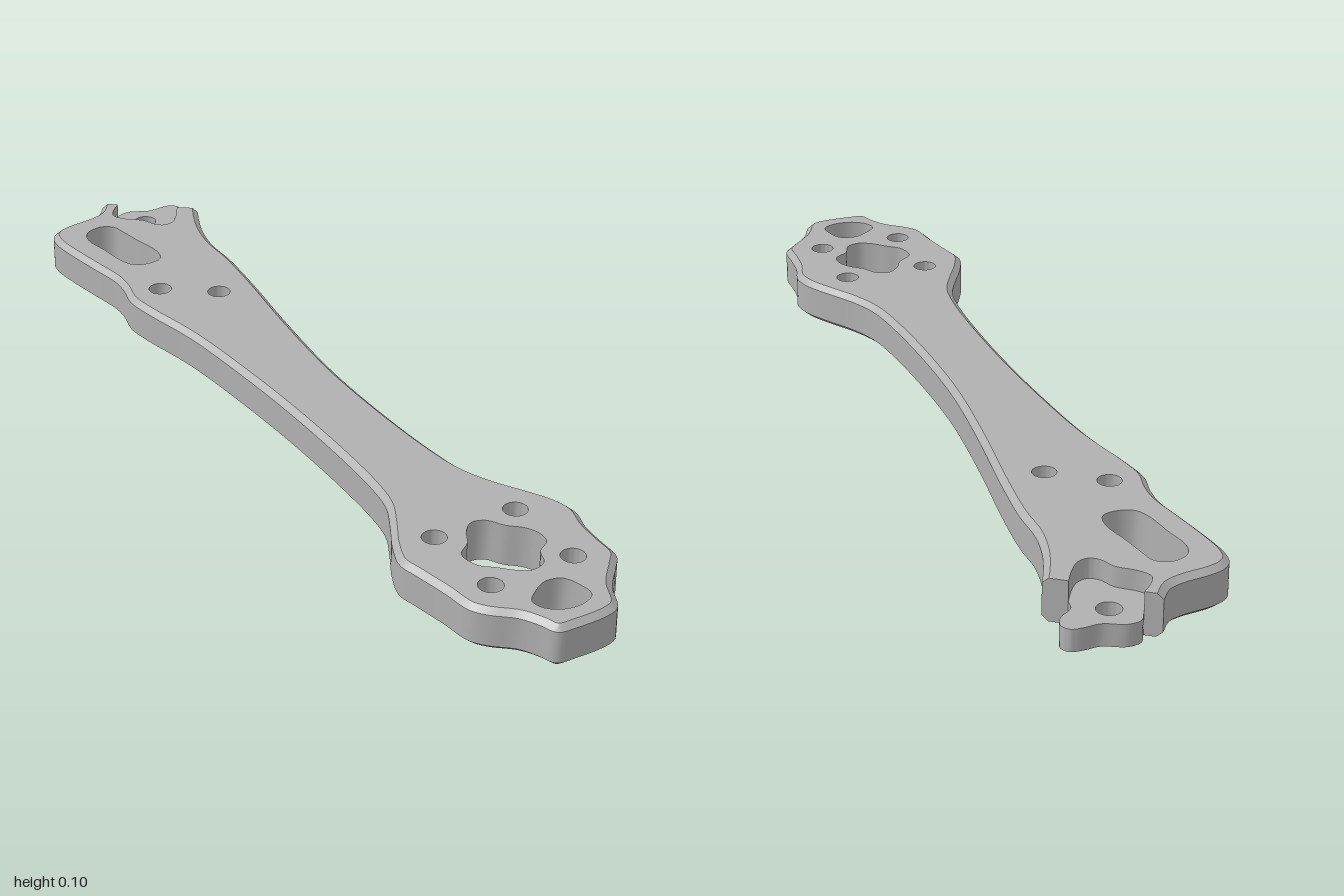
import * as THREE from 'three';
import { toCreasedNormals } from 'three/addons/utils/BufferGeometryUtils.js';

const HEIGHT = 0.105, CHAMFER = 0.013, INSET = 0.015, FLOOR = 0.055;

// Plan outlines as x, z pairs in hundredths of a unit
const OUTLINE = [
  -65.7, -88.9, -66, -84, -68.3, -80.4, -73, -75.7, -75.2, -72.5, -75.7, -69.3, -74.1, -65.6,
  -70, -60.8, -61.5, -52.4, -55, -46, -52, -41.3, -49.3, -35.4, -44.6, -30.2, -31.4, -18,
  -16, -0.5, -2.4, 16.4, 10.8, 34.4, 19.8, 48.1, 23.5, 55.6, 25, 63.5, 26.1, 71.4,
  28.2, 78.3, 32, 82, 38.8, 88.4, 44, 93.7, 48.3, 95.2, 54.6, 95.8, 58.8, 97.6,
  63, 100, 67.3, 97.6, 73.6, 92.6, 75.5, 89.4, 74.3, 82, 75, 74.6, 75.2, 69.8,
  71.5, 64, 68.3, 58.7, 66, 53, 62, 49.2, 55.7, 46, 47.2, 42.3, 39.8, 37.6,
  32, 29.6, 18.7, 13.2, 5.5, -5.3, -7.7, -27.5, -19.3, -48.7, -27.2, -62, -32.5, -69.3,
  -36.1, -76.7, -38.3, -84, -39.3, -88.9];
const NOTCH = [-45.1, -88.9, -44.6, -84, -45, -80, -46.8, -78, -49.3, -78, -53, -80,
  -58.3, -80.5, -61.5, -82, -62, -85, -61.5, -88.9];
const TAB = [-45.1, -88.9, -46.3, -91.5, -45.2, -95.8, -46, -99, -48.3, -100, -51, -98.5,
  -54, -96, -59.4, -94.7, -61.8, -92.2, -61.5, -88.9];
const SLOT = [-66.7, -70.8, -64.1, -74.6, -60.4, -75.1, -57.3, -72.5, -53, -68.3, -46.7, -62.4,
  -45.1, -58.2, -47.8, -55, -51.5, -54, -55.1, -56, -60.4, -61.4, -65.7, -66.7];
const HUB = [42, 65, 43, 61.4, 46.2, 60.3, 50.4, 61.9, 54.6, 62.4, 57.8, 64, 59.8, 67.2,
  58.5, 71.4, 59.4, 75.7, 57.3, 78.8, 53.6, 79.4, 49.3, 78.8, 45.1, 78.3, 41.4, 74.6, 42.5, 69.8];
const TIP = [57.8, 87.3, 59.9, 83, 63.6, 81.5, 67.3, 83.6, 69.9, 86.8, 68.3, 90.5,
  64.1, 93.1, 59.9, 93.1, 57.3, 91];
const BOLTS = [[-42.5, -41.3], [-27.2, -41.3], [52.5, 55], [35.1, 68.3], [65.7, 72.5], [48.3, 85.7]];
const TAB_BOLT = [-54.1, -89.4];

// Smooth plan curve through the pairs
function smooth(pairs, closed = false) {
  const pts = [];
  for (let i = 0; i < pairs.length; i += 2) pts.push(new THREE.Vector3(pairs[i] / 100, 0, pairs[i + 1] / 100));
  return new THREE.CatmullRomCurve3(pts, closed).getPoints(pts.length * 4);
}

function circle([x, z], r = 0.029, n = 32) {
  return Array.from({ length: n + 1 }, (_, i) => {
    const a = (i / n) * Math.PI * 2;
    return new THREE.Vector3(x / 100 + r * Math.cos(a), 0, z / 100 + r * Math.sin(a));
  });
}

// Move an open path inwards, keeping its two ends on the cut line
function inset(path, d) {
  return path.map((p, i) => {
    const t = path[Math.min(i + 1, path.length - 1)].clone().sub(path[Math.max(i - 1, 0)]).normalize();
    const end = i === 0 || i === path.length - 1;
    return new THREE.Vector3(p.x + t.z * d, 0, end ? p.z : p.z - t.x * d);
  });
}

// Upright skin between stacked rows of [path, y]
function wall(rows) {
  const pos = [], idx = [], n = rows[0][0].length;
  for (const [path, y] of rows) for (const p of path) pos.push(p.x, y, p.z);
  for (let r = 0; r < rows.length - 1; r++) {
    for (let i = 0; i < n - 1; i++) {
      const a = r * n + i, d = a + n;
      idx.push(a, a + 1, d + 1, a, d + 1, d);
    }
  }
  const g = new THREE.BufferGeometry();
  g.setAttribute('position', new THREE.Float32BufferAttribute(pos, 3));
  g.setIndex(idx);
  return toCreasedNormals(g, 0.6);
}

// Flat face with holes, looking up (s = 1) or down (s = -1)
function cap(path, holes, y, s) {
  const flat = (pts) => pts.map((p) => new THREE.Vector2(p.x, -s * p.z));
  const shape = new THREE.Shape(flat(path));
  shape.holes = holes.map((h) => new THREE.Path(flat(h)));
  return new THREE.ShapeGeometry(shape).rotateX(-s * Math.PI / 2).translate(0, y, 0);
}

export function createModel() {
  const group = new THREE.Group();
  group.name = 'arm';
  const grey = new THREE.MeshStandardMaterial({ color: 0xb0b0b0 });
  grey.name = 'grey';
  const add = (name, geometry) => {
    const mesh = new THREE.Mesh(geometry, grey);
    mesh.name = name;
    group.add(mesh);
  };

  const outer = smooth(OUTLINE), inner = inset(outer, INSET);
  const notch = smooth(NOTCH), tab = smooth(TAB);
  const holes = [smooth(SLOT, true), smooth(HUB, true), smooth(TIP, true), ...BOLTS.map((b) => circle(b))];
  const tabHole = circle(TAB_BOLT);
  const levels = [[inner, 0], [outer, CHAMFER], [outer, HEIGHT - CHAMFER], [inner, HEIGHT]];

  // Bevelled rim and the two flat faces
  add('rim', wall(levels));
  add('topFace', cap([...inner, ...notch], holes, HEIGHT, 1));
  add('bottomFace', cap([...inner, ...tab], [...holes, tabHole], 0, -1));

  // Cut ends on either side of the tab
  const last = outer.length - 1;
  add('rightCutEnd', wall(levels.map(([p, y]) => [[notch[notch.length - 1], p[0]], y])));
  add('leftCutEnd', wall(levels.map(([p, y]) => [[p[last], notch[0]], y])));

  // Half-height tab and the recess it sits in
  add('tabFace', cap([...tab, ...notch.slice().reverse()], [tabHole], FLOOR, 1));
  add('tabEdge', wall([[tab, 0], [tab, FLOOR]]));
  add('recessWall', wall([[notch, FLOOR], [notch, HEIGHT]]));
  add('tabHole', wall([[tabHole, 0], [tabHole, FLOOR]]));

  // Through holes
  holes.forEach((h, i) => {
    const name = ['slotWall', 'hubOpeningWall', 'tipOpeningWall'][i] || 'boltHoleWall';
    add(name, wall([[h, 0], [h, HEIGHT]]));
  });
  return group;
}
